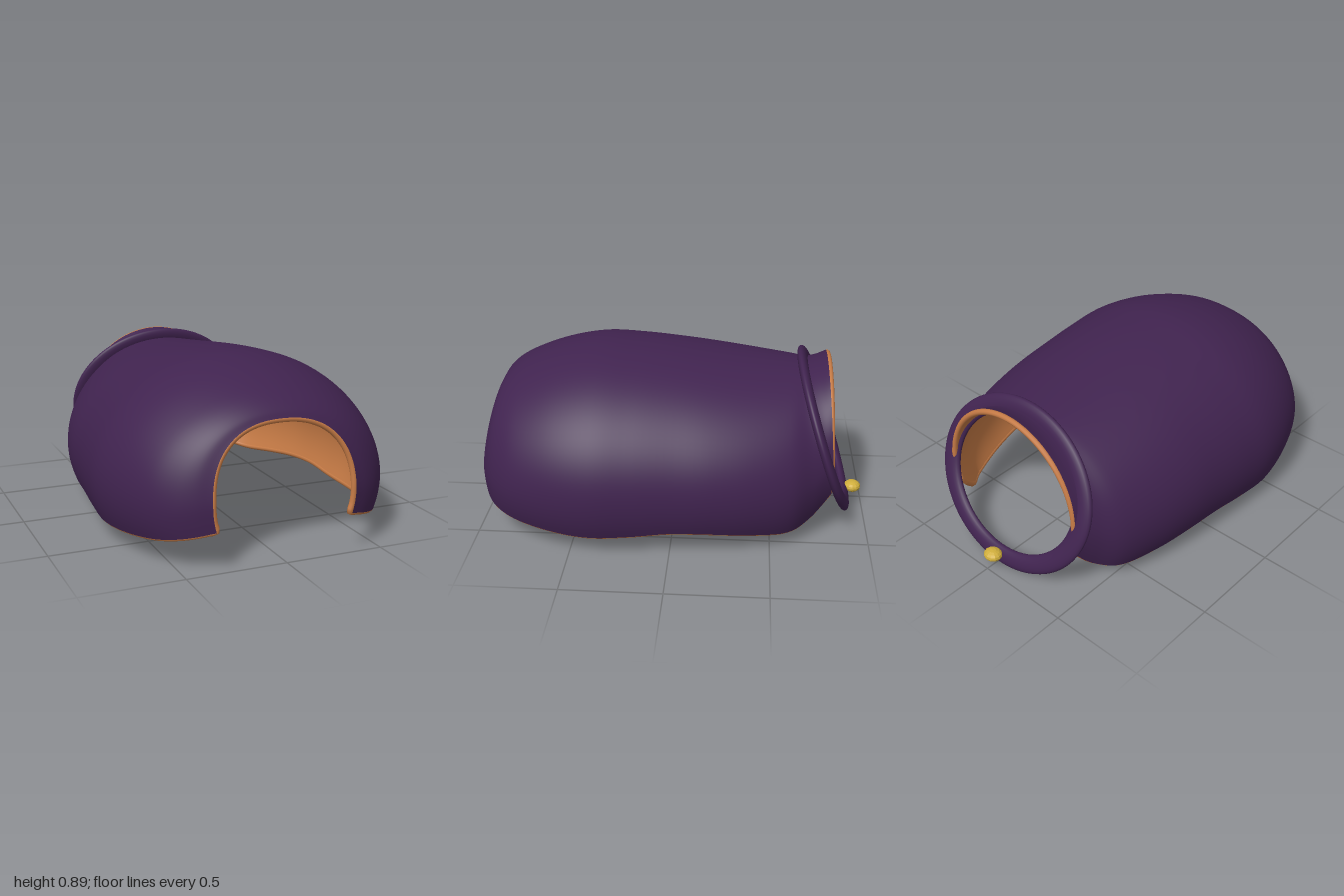
import * as THREE from 'three';

// Cross-sections, front to back:
// [z at sides, z at top, half width, top y, y of widest point, hem y, roundness]
const SECTIONS = [
  [0.985, 0.925, 0.365, 0.68, 0.32, 0.20, 0.85],
  [0.95, 0.905, 0.45, 0.712, 0.31, 0.18, 0.9],
  [0.9, 0.86, 0.525, 0.752, 0.3, 0.162, 0.95],
  [0.8, 0.78, 0.61, 0.797, 0.3, 0.14, 1],
  [0.6, 0.6, 0.693, 0.86, 0.3, 0.118, 1],
  [0.4, 0.4, 0.73, 0.894, 0.3, 0.108, 1],
  [0.2, 0.2, 0.722, 0.889, 0.3, 0.118, 1],
  [0, 0, 0.705, 0.872, 0.3, 0.138, 1],
  [-0.2, -0.2, 0.688, 0.848, 0.3, 0.13, 1],
  [-0.4, -0.4, 0.65, 0.823, 0.29, 0.108, 1],
  [-0.6, -0.59, 0.58, 0.802, 0.29, 0.092, 1],
  [-0.7, -0.67, 0.505, 0.796, 0.33, 0.125, 1],
  [-0.76, -0.72, 0.465, 0.81, 0.37, 0.185, 1],
  [-0.805, -0.775, 0.44, 0.838, 0.4, 0.25, 1],
];
const ROWS = 72, COLS = 64, THICKNESS = 0.028;

const signedPow = (v, p) => Math.sign(v) * Math.pow(Math.abs(v), p);

function sectionPoint([zSide, zTop, a, yTop, yc, yHem, p], s) {
  const b = yTop - yc;
  const low = Math.asin((yc - yHem) / b);
  const t = -low + s * (Math.PI + 2 * low);
  const sin = Math.sin(t);
  return new THREE.Vector3(
    a * signedPow(Math.cos(t), p),
    yc + b * (sin > 0 ? signedPow(sin, p) : sin),
    zSide + (zTop - zSide) * Math.max(0, sin));
}

// Smooth grid of points: rows run front to back, columns from left hem to right hem
function shellPoints() {
  const columns = [];
  for (let j = 0; j <= COLS; j++) {
    const curve = new THREE.CatmullRomCurve3(SECTIONS.map((sec) => sectionPoint(sec, j / COLS)));
    columns.push(curve.getPoints(ROWS));
  }
  const points = [];
  for (let i = 0; i <= ROWS; i++) for (let j = 0; j <= COLS; j++) points.push(columns[j][i]);
  return points;
}

function gridGeometry(points, inward) {
  const index = [];
  const w = COLS + 1;
  for (let i = 0; i < ROWS; i++) {
    for (let j = 0; j < COLS; j++) {
      const a = i * w + j, b = a + w, c = a + 1, d = b + 1;
      if (inward) index.push(a, c, b, b, c, d);
      else index.push(a, b, c, b, d, c);
    }
  }
  const geometry = new THREE.BufferGeometry().setFromPoints(points);
  geometry.setIndex(index);
  geometry.computeVertexNormals();
  return geometry;
}

export function createModel() {
  const purple = new THREE.MeshStandardMaterial({ color: 0x40234f });
  purple.name = 'purpleCloth';
  const orange = new THREE.MeshStandardMaterial({ color: 0xc57a45 });
  orange.name = 'orangeLining';
  const gold = new THREE.MeshStandardMaterial({ color: 0xd0ae3c });
  gold.name = 'goldMetal';

  const model = new THREE.Group();
  model.name = 'coat';
  const add = (name, geometry, material) => {
    const mesh = new THREE.Mesh(geometry, material);
    mesh.name = name;
    model.add(mesh);
    return mesh;
  };

  // Outer cloth and lining, offset inwards along the normals
  const outer = shellPoints();
  const outerGeometry = gridGeometry(outer, false);
  add('outerCloth', outerGeometry, purple);
  const normals = outerGeometry.attributes.normal;
  const offset = (k, distance) =>
    outer[k].clone().addScaledVector(new THREE.Vector3().fromBufferAttribute(normals, k), -distance);
  add('lining', gridGeometry(outer.map((_, k) => offset(k, THICKNESS)), true), orange);

  // Piping that closes the edge all the way round
  const w = COLS + 1, loop = [];
  for (let j = 0; j < COLS; j += 2) loop.push(j);
  for (let i = 0; i < ROWS; i += 2) loop.push(i * w + COLS);
  for (let j = COLS; j > 0; j -= 2) loop.push(ROWS * w + j);
  for (let i = ROWS; i > 0; i -= 2) loop.push(i * w);
  const edge = new THREE.CatmullRomCurve3(loop.map((k) => offset(k, THICKNESS * 0.55)), true);
  add('edgePiping', new THREE.TubeGeometry(edge, 400, 0.015, 10, true), orange);

  // Flattened, tilted collar ring
  const collar = add('collar', new THREE.TorusGeometry(0.455, 0.055, 20, 96), purple);
  collar.scale.set(1, 0.87, 0.45);
  collar.rotation.x = 0.33;
  collar.position.set(0, 0.43, -0.778);

  // Small faceted button at the bottom of the collar
  const ball = new THREE.SphereGeometry(1, 12, 8).toNonIndexed();
  ball.computeVertexNormals();
  const button = add('button', ball, gold);
  button.scale.set(0.05, 0.03, 0.045);
  button.position.set(0, 0.077, -0.955);

  return model;
}
